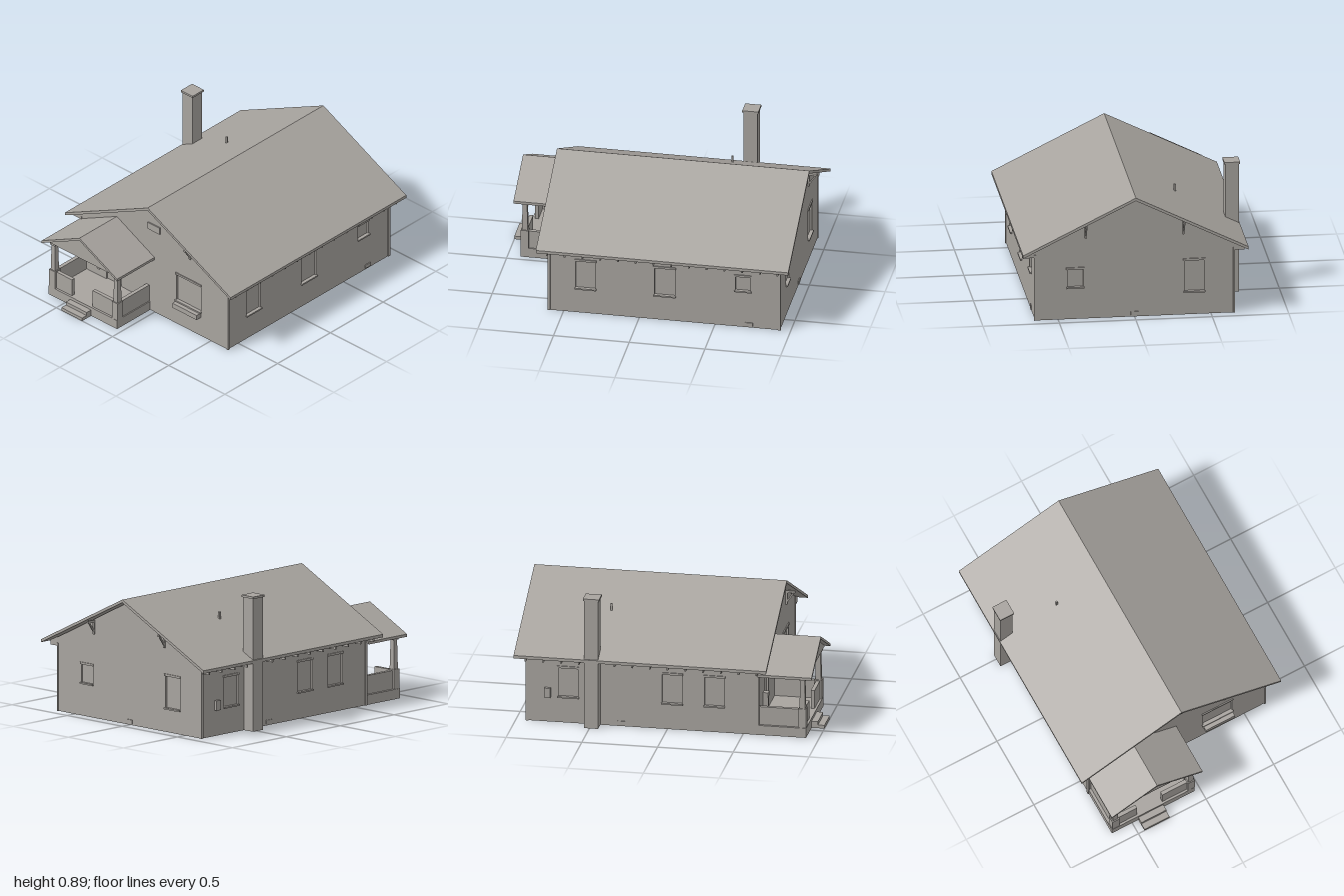
import * as THREE from 'three';

export function createModel() {
  const house = new THREE.Group();
  house.name = 'house';
  const grey = new THREE.MeshStandardMaterial({ color: 0xa8a49f, side: THREE.DoubleSide });
  grey.name = 'warm grey';

  const add = (parent, name, geometry) => {
    const mesh = new THREE.Mesh(geometry, grey);
    mesh.name = name;
    parent.add(mesh);
    return mesh;
  };
  // Box given by its limits on each axis
  const box = (parent, name, x0, x1, y0, y1, z0, z1) => {
    const mesh = add(parent, name, new THREE.BoxGeometry(x1 - x0, y1 - y0, z1 - z0));
    mesh.position.set((x0 + x1) / 2, (y0 + y1) / 2, (z0 + z1) / 2);
    return mesh;
  };
  const polygon = (points) => new THREE.Shape(points.map(([x, y]) => new THREE.Vector2(x, y)));
  // Outline in x and y, pushed from z0 to z1
  const slab = (parent, name, shape, z0, z1) => {
    const geometry = new THREE.ExtrudeGeometry(shape, { depth: z1 - z0, bevelEnabled: false });
    geometry.translate(0, 0, z0);
    return add(parent, name, geometry);
  };
  const rect = (x0, x1, y0, y1) => polygon([[x0, y0], [x1, y0], [x1, y1], [x0, y1]]);

  // Wall facing local +z, with recessed openings [x0, x1, y0, y1, isDoor]
  const wall = (name, outline, openings, position, turn, extraHole) => {
    const group = new THREE.Group();
    group.name = name;
    group.position.set(...position);
    group.rotation.y = turn;
    const shape = polygon(outline);
    openings.forEach(([x0, x1, y0, y1]) => shape.holes.push(rect(x0, x1, y0, y1)));
    if (extraHole) shape.holes.push(polygon(extraHole));
    slab(group, name + 'Panel', shape, -0.02, 0);
    openings.forEach(([x0, x1, y0, y1, isDoor]) => {
      box(group, isDoor ? 'door' : 'windowPane', x0, x1, y0, y1, -0.02, -0.012);
      box(group, 'lintel', x0 - 0.007, x1 + 0.007, y1, y1 + 0.014, 0, isDoor ? 0.015 : 0.007);
      if (!isDoor) box(group, 'windowSill', x0 - 0.006, x1 + 0.006, y0 - 0.01, y0, 0, 0.012);
    });
    house.add(group);
    return group;
  };

  const gable = [[-0.65, 0], [0.65, 0], [0.65, 0.49], [0, 0.815], [-0.65, 0.49]];
  const front = wall('frontWall', gable,
    [[-0.43, -0.295, 0.065, 0.34, true], [0.195, 0.41, 0.185, 0.38]],
    [0, 0, 0.6], 0, [[-0.63, 0.415], [-0.04, 0.415], [-0.335, 0.56]]);
  const back = wall('backWall', gable,
    [[-0.44, -0.335, 0.22, 0.34], [0.325, 0.455, 0.16, 0.37]], [0, 0, -0.93], Math.PI);
  const side = (a, b) => [[a, 0], [b, 0], [b, 0.49], [a, 0.49]];
  const left = wall('leftWall', side(-0.6, 0.93),
    [[-0.42, -0.29, 0.18, 0.375], [0.1, 0.235, 0.18, 0.375], [0.635, 0.735, 0.265, 0.365]],
    [0.65, 0, 0], Math.PI / 2);
  const right = wall('rightWall', side(-0.93, 0.6),
    [[-0.72, -0.59, 0.18, 0.375], [-0.035, 0.095, 0.18, 0.375], [0.245, 0.375, 0.18, 0.375]],
    [-0.65, 0, 0], -Math.PI / 2);

  // Small wall fittings
  box(front, 'gableVent', -0.055, 0.05, 0.625, 0.675, 0, 0.008);
  box(front, 'wallLamp', -0.27, -0.237, 0.27, 0.32, 0, 0.02);
  box(front, 'windowBox', 0.195, 0.41, 0.14, 0.175, 0, 0.04);
  slab(front, 'planter', polygon([[-0.482, 0.14], [-0.458, 0.14], [-0.45, 0.235], [-0.492, 0.235]]), 0, 0.035);
  box(right, 'meterBox', -0.81, -0.77, 0.17, 0.235, 0, 0.02);
  box(back, 'baseVent', -0.025, 0.025, 0.01, 0.035, 0, 0.006);
  box(left, 'baseVent', 0.7, 0.75, 0.01, 0.035, 0, 0.006);
  box(right, 'baseVent', -0.33, -0.28, 0.01, 0.035, 0, 0.006);

  // Corner boards
  for (const s of [-1, 1]) {
    for (const [z0, z1] of [[0.587, 0.605], [-0.935, -0.917]]) {
      const x0 = s > 0 ? 0.645 : -0.657;
      box(house, 'cornerBoard', x0, x0 + 0.012, 0, 0.45, z0, z1);
    }
  }

  // Gabled roofs: a folded sheet around a centre line
  const roof = (name, cx, half, ridge, eave, thick, z0, z1) =>
    slab(house, name, polygon([
      [cx - half, eave], [cx - half, eave - thick], [cx, ridge - thick],
      [cx + half, eave - thick], [cx + half, eave], [cx, ridge],
    ]), z0, z1);
  roof('mainRoof', 0, 0.737, 0.838, 0.472, 0.02, -1, 0.667);
  roof('porchRoof', -0.337, 0.335, 0.59, 0.422, 0.018, 0.6, 0.955);

  // Rafter tails under both eaves
  for (let i = 0; i < 14; i++) {
    const z = 0.598 - i * 0.1172;
    for (const s of [-1, 1]) {
      slab(house, 'rafterTail', polygon([
        [s * 0.65, 0.43], [s * 0.72, 0.43], [s * 0.72, 0.46], [s * 0.65, 0.492],
      ]), z - 0.005, z + 0.005);
    }
  }

  // Gable braces: wall post, arm and strut
  const brace = (x, z, dir) => {
    const group = new THREE.Group();
    group.name = 'gableBrace';
    box(group, 'bracePost', -0.006, 0.006, 0.555, 0.65, 0, 0.012);
    box(group, 'braceArm', -0.006, 0.006, 0.635, 0.65, 0, 0.062);
    const strut = box(group, 'braceStrut', -0.005, 0.005, 0.57, 0.64, 0.025, 0.035);
    strut.rotation.x = 0.6;
    group.position.set(x, 0, z);
    group.rotation.y = dir;
    house.add(group);
  };
  brace(0.32, 0.6, 0);
  brace(0.32, -0.93, Math.PI);
  brace(-0.32, -0.93, Math.PI);

  // Chimney and roof pipe
  box(house, 'chimney', -0.732, -0.643, 0, 0.882, -0.535, -0.443);
  box(house, 'chimneyCap', -0.739, -0.635, 0.88, 0.894, -0.542, -0.436);
  box(house, 'ventPipe', -0.331, -0.319, 0.65, 0.722, -0.436, -0.424);

  // Porch: open-bottomed base, steps and parapets
  const porch = new THREE.Group();
  porch.name = 'porch';
  house.add(porch);
  box(porch, 'porchFloor', -0.65, -0.04, 0.055, 0.065, 0.6, 0.915);
  box(porch, 'porchBaseFront', -0.65, -0.04, 0, 0.06, 0.905, 0.915);
  for (const x of [-0.65, -0.05]) box(porch, 'porchBaseSide', x, x + 0.01, 0, 0.06, 0.6, 0.91);
  box(porch, 'lowerStep', -0.455, -0.27, 0, 0.022, 0.915, 1);
  box(porch, 'upperStep', -0.455, -0.27, 0.022, 0.045, 0.915, 0.957);
  box(porch, 'frontParapet', -0.6, -0.455, 0.065, 0.188, 0.875, 0.9);
  box(porch, 'frontParapet', -0.27, -0.08, 0.065, 0.188, 0.875, 0.9);
  for (const x of [-0.618, -0.061]) {
    box(porch, 'sideParapet', x - 0.013, x + 0.013, 0.065, 0.188, 0.6, 0.87);
    // Pier, tapering post and capital
    box(porch, 'pier', x - 0.026, x + 0.026, 0.065, 0.195, 0.862, 0.914);
    const post = add(porch, 'post', new THREE.CylinderGeometry(0.021, 0.027, 0.2, 4).toNonIndexed());
    post.geometry.rotateY(Math.PI / 4);
    post.geometry.computeVertexNormals();
    post.position.set(x, 0.293, 0.888);
    box(porch, 'capital', x - 0.021, x + 0.021, 0.388, 0.406, 0.865, 0.911);
  }

  // Porch gable front and ceiling
  slab(porch, 'porchGable', polygon([
    [-0.655, 0.405], [-0.018, 0.405], [-0.018, 0.412], [-0.337, 0.573], [-0.655, 0.412],
  ]), 0.9, 0.918);
  box(porch, 'porchCeiling', -0.65, -0.024, 0.405, 0.411, 0.6, 0.9);

  return house;
}
